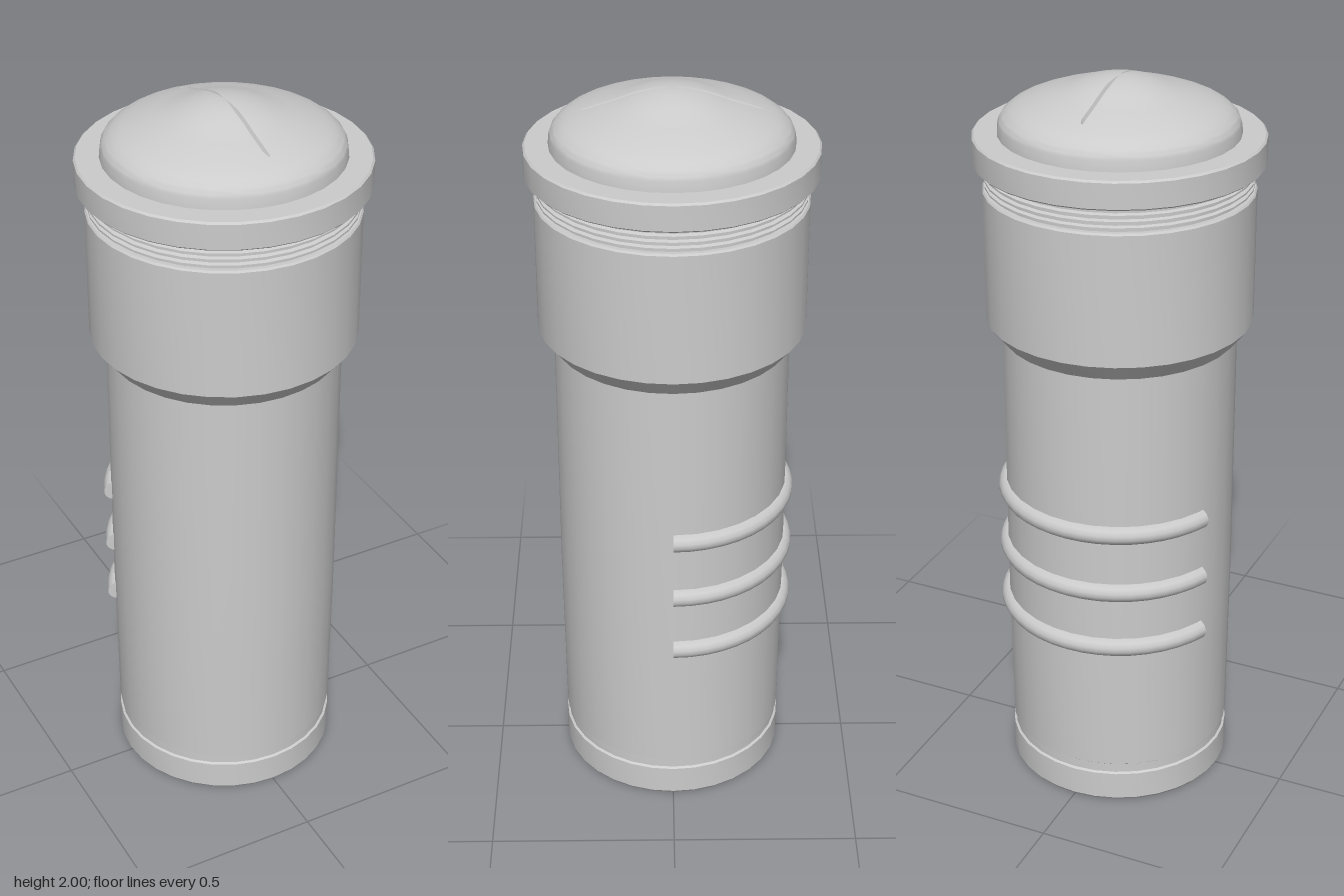
import * as THREE from 'three';
import { toCreasedNormals } from 'three/addons/utils/BufferGeometryUtils.js';

const SIDES = 32;
const grey = new THREE.MeshStandardMaterial({ color: 0xcccccc });
const greyDouble = new THREE.MeshStandardMaterial({ color: 0xcccccc, side: THREE.DoubleSide });
const points = (list) => list.map(([r, y]) => new THREE.Vector2(r, y));

// Turned part from a bottom-to-top [radius, height] profile
function turned(name, profile) {
  const geo = new THREE.LatheGeometry(points(profile), SIDES);
  const mesh = new THREE.Mesh(toCreasedNormals(geo, 0.45), grey);
  mesh.name = name;
  return mesh;
}

// Domed cap with a thin slot running front to back
function slottedDome() {
  const curve = new THREE.SplineCurve(points([
    [0.309, 1.875], [0.301, 1.897], [0.27, 1.922], [0.21, 1.946],
    [0.15, 1.965], [0.09, 1.986], [0.04, 1.997], [0, 2],
  ]));
  const profile = [new THREE.Vector2(0.311, 1.85), ...curve.getPoints(28)];
  profile[profile.length - 1].x = 0;

  // Columns: regular steps, plus slot edges (-1, +1) around each slot centre (0)
  const columns = [];
  for (const base of [0, Math.PI]) {
    for (const edge of [0, 1]) columns.push({ base, edge });
    for (let i = 1; i < SIDES / 2; i++) columns.push({ angle: base + (i * 2 * Math.PI) / SIDES });
    columns.push({ base: base + Math.PI, edge: -1 });
  }
  columns.push({ base: 2 * Math.PI, edge: 0 });

  const geo = new THREE.LatheGeometry(profile, columns.length - 1);
  const pos = geo.attributes.position;
  columns.forEach((col, i) => profile.forEach((p, j) => {
    const halfWidth = Math.min(0.0055, p.x * 0.085);
    const angle = col.angle ?? col.base + (p.x > 0 ? (col.edge * halfWidth) / p.x : 0);
    const inSlot = col.edge === 0 && p.x > 0.005 && p.x < 0.225;
    const drop = inSlot ? Math.min(0.012, p.x * 0.2) : 0;
    pos.setXYZ(i * profile.length + j, p.x * Math.sin(angle), p.y - drop, p.x * Math.cos(angle));
  }));
  const mesh = new THREE.Mesh(toCreasedNormals(geo, 0.6), grey);
  mesh.name = 'slottedDome';
  return mesh;
}

// Raised grip rib wrapped part way round the back of the barrel
function gripRib(y) {
  const rib = new THREE.Group();
  rib.name = 'gripRib';
  const start = Math.PI / 2;
  const length = THREE.MathUtils.degToRad(160);
  const section = points([
    [0.29, -0.026], [0.313, -0.026], [0.324, -0.018], [0.33, -0.006],
    [0.33, 0.006], [0.324, 0.018], [0.313, 0.026], [0.29, 0.026],
  ]);
  const band = new THREE.Mesh(new THREE.LatheGeometry(section, 20, start, length), greyDouble);
  band.name = 'ribBand';
  rib.add(band);
  for (const turn of [0, length]) {
    const end = new THREE.Mesh(new THREE.ShapeGeometry(new THREE.Shape(section)), greyDouble);
    end.name = 'ribEnd';
    end.rotation.y = turn;
    rib.add(end);
  }
  rib.position.y = y;
  return rib;
}

export function createModel() {
  const model = new THREE.Group();
  model.name = 'canister';

  // Barrel with a shallow groove above the foot
  model.add(turned('barrel', [
    [0, 0], [0.3, 0], [0.306, 0.008], [0.306, 0.088], [0.3, 0.092],
    [0.3, 0.118], [0.305, 0.122], [0.308, 0.4], [0.31, 0.6], [0.31, 1.32],
  ]));

  // Wider upper sleeve with a sloped underside
  model.add(turned('upperSleeve', [
    [0.305, 1.308], [0.312, 1.308], [0.352, 1.358], [0.352, 1.708], [0.348, 1.713], [0.3, 1.713],
  ]));

  // Threaded neck
  const thread = [[0.336, 1.705]];
  for (let i = 0; i < 4; i++) {
    const y = 1.718 + i * 0.016;
    thread.push([0.336, y], [0.346, y + 0.003], [0.346, y + 0.008], [0.336, y + 0.011]);
  }
  thread.push([0.336, 1.785]);
  model.add(turned('threadedNeck', thread));

  // Cap rim
  model.add(turned('capRim', [
    [0.3, 1.78], [0.371, 1.78], [0.375, 1.784], [0.375, 1.85], [0.37, 1.855], [0.29, 1.855],
  ]));

  model.add(slottedDome());
  for (const y of [0.855, 0.68, 0.51]) model.add(gripRib(y));
  return model;
}
